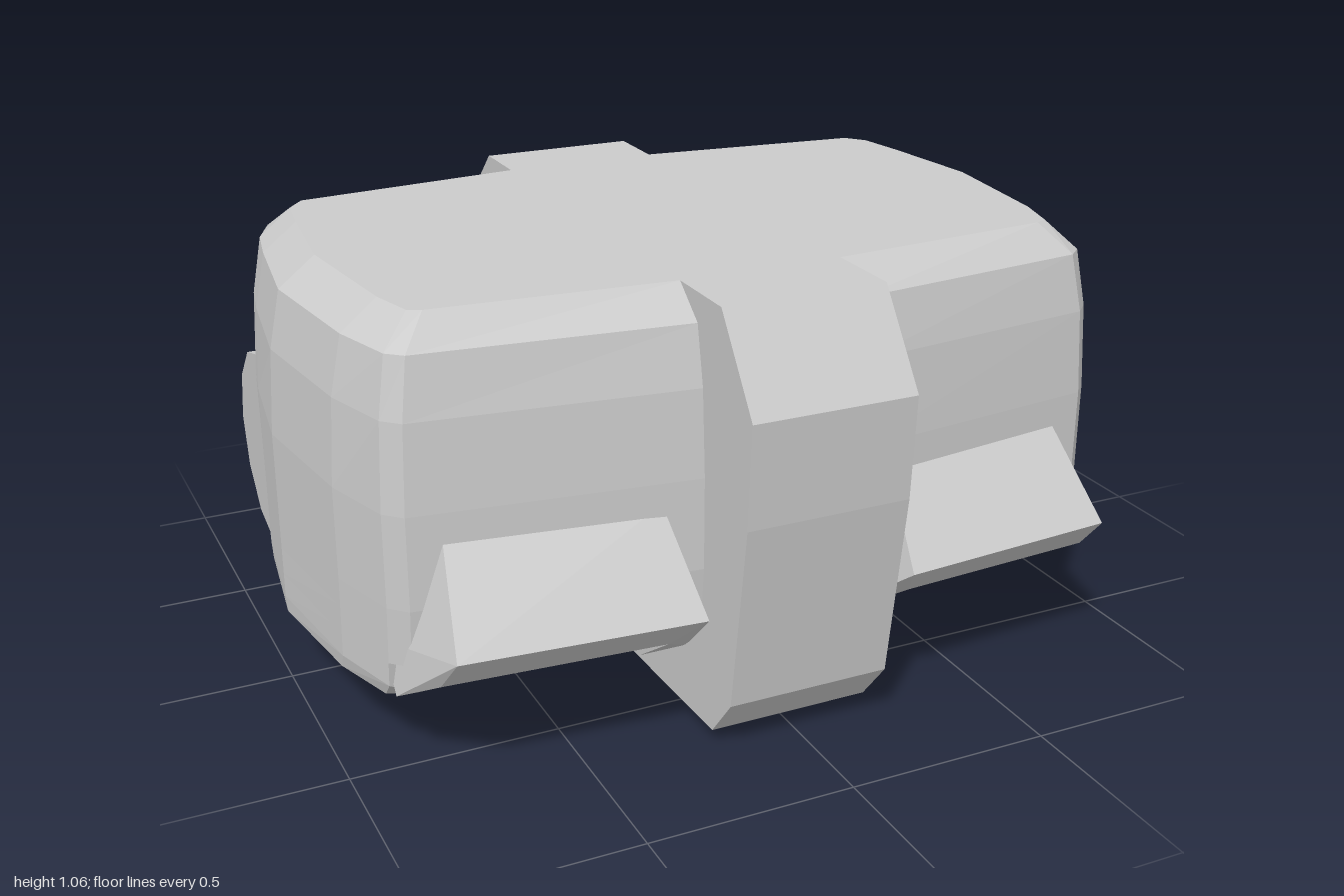
import * as THREE from 'three';
import { ConvexGeometry } from 'three/addons/geometries/ConvexGeometry.js';

const material = new THREE.MeshStandardMaterial({ color: 0xcccccc, flatShading: true });

function addMesh(parent, name, geometry) {
  const mesh = new THREE.Mesh(geometry, material);
  mesh.name = name;
  parent.add(mesh);
  return mesh;
}

// Half outlines in plan [x, z], from the front centre round to the back centre
const OUTER = [[0.2, 0.65], [0.86, 0.57], [0.9, 0.53], [0.955, 0.35], [1, 0], [0.96, -0.3], [0.935, -0.43], [0.89, -0.55], [0.2, -0.63]];
const TOP = [[0.2, 0.52], [0.77, 0.475], [0.8, 0.46], [0.83, 0.35], [0.87, 0], [0.84, -0.28], [0.82, -0.41], [0.78, -0.46], [0.2, -0.52]];

// Cylinder pods and the round recess that holds them
const POD = { y: 0.35, z: -0.6, radius: 0.27, recess: 0.29 };

// Underside channel: inner wall, outer wall and ceiling height
const CHANNEL = { inner: 0.31, outer: 0.83, y: 0.28 };

// One half of the body outline (+x side) at height y
function halfRing(y, blend, frontScale) {
  const half = OUTER.map(([x, z], i) => {
    const px = THREE.MathUtils.lerp(TOP[i][0], x, blend);
    const pz = THREE.MathUtils.lerp(TOP[i][1], z, blend);
    return [px, y, pz > 0 ? pz * frontScale : pz];
  });
  // Pull the rear of the ring forward where the recess cuts into it
  const dy = y - POD.y;
  if (Math.abs(dy) >= POD.recess) return half;
  const cut = POD.z + Math.sqrt(POD.recess ** 2 - dy ** 2);
  return half.map(([x, , z], i) => {
    if (i < 5 || z >= cut) return [x, y, z];
    if (x <= 0.2) return [x, y, cut];
    let k = 4;
    while (half[k + 1][2] > cut) k++;
    const [a, b] = [half[k], half[k + 1]];
    return [THREE.MathUtils.lerp(a[0], b[0], (cut - a[2]) / (b[2] - a[2])), y, cut];
  });
}

function bodyGeometry() {
  // Height, blend from top outline to full outline, front taper
  const rings = [
    [CHANNEL.y, 1, 0.98], [0.35, 1, 0.99], [0.42, 1, 1],
    [0.5, 1, 1], [0.56, 1, 1], [0.6, 1, 1], [0.63, 1, 1], [0.642, 1, 1],
    [0.85, 0.9, 1], [0.99, 0.68, 1], [1.06, 0, 1],
  ].map(r => {
    const half = halfRing(...r);
    return [...half, ...half.map(([x, y, z]) => [-x, y, z]).reverse()];
  });
  const n = rings[0].length;
  const vertices = rings.flat(2);
  const bottom = rings.length * n;
  const top = bottom + 1;
  vertices.push(0, CHANNEL.y, 0, 0, 1.06, 0);
  const index = [];
  for (let r = 0; r < rings.length - 1; r++) {
    for (let i = 0; i < n; i++) {
      const a = r * n + i, b = r * n + (i + 1) % n;
      index.push(a, b, b + n, a, b + n, a + n);
    }
  }
  const last = (rings.length - 1) * n;
  for (let i = 0; i < n; i++) {
    const j = (i + 1) % n;
    index.push(bottom, j, i, top, last + i, last + j);
  }
  const geometry = new THREE.BufferGeometry();
  geometry.setAttribute('position', new THREE.Float32BufferAttribute(vertices, 3));
  geometry.setIndex(index);
  geometry.computeVertexNormals();
  return geometry;
}

export function createModel() {
  const model = new THREE.Group();
  model.name = 'model';

  addMesh(model, 'body', bodyGeometry());

  // Central band wrapping over the body, side profile as (z, y)
  const profile = [
    [0.72, 1.06], [0.87, 0.85], [0.855, 0.6], [0.79, 0.14], [0.7, 0.03], [0.1, 0.005],
    [-0.48, 0], [-0.68, 0.14], [-0.74, 0.35], [-0.755, 0.6], [-0.765, 0.99], [-0.69, 1.06],
  ].map(([z, y]) => new THREE.Vector2(z, y));
  const band = new THREE.ExtrudeGeometry(new THREE.Shape(profile), { depth: 0.4, bevelEnabled: false });
  band.translate(0, 0, -0.2);
  band.rotateY(-Math.PI / 2);
  addMesh(model, 'centralBand', band);

  const { inner, outer, y: ceiling } = CHANNEL;
  for (const side of [1, -1]) {
    const label = side > 0 ? 'left' : 'right';
    const hull = (name, points) => addMesh(model, label + name,
      new ConvexGeometry(points.map(([x, y, z]) => new THREE.Vector3(side * x, y, z))));

    // Twelve-sided pod at the back
    const pod = new THREE.CylinderGeometry(POD.radius, POD.radius, 0.665, 12);
    pod.rotateZ(Math.PI / 2);
    addMesh(model, label + 'RearCylinder', pod).position.set(side * 0.5575, POD.y, POD.z);

    // Pointed ledge on the front, over the mouth of the channel
    hull('FrontLedge', [
      [0.29, 0.585, 0.62], [0.78, 0.585, 0.565],
      [0.26, 0.375, 0.8], [0.82, 0.375, 0.755],
      [inner, ceiling, 0.7], [outer, ceiling, 0.665],
      [inner, ceiling, 0.4], [outer, ceiling, 0.4],
    ]);

    // Cheek outside the channel, joining the ledge to the body corner
    hull('OuterCheek', [
      [0.78, 0.585, 0.565], [0.82, 0.375, 0.755], [outer, ceiling, 0.665],
      [0.89, 0.2, 0.53], [outer, 0.18, 0.5], [outer, 0.18, 0.4],
      [outer, 0.3, 0.4], [0.89, 0.3, 0.45],
    ]);

    // Side wall below the channel ceiling
    hull('SideSkirt', [
      ...[[0.18, 0.98, 0.9], [0.22, 1, 0.97], [ceiling + 0.01, 1, 0.98]].flatMap(r => [
        ...halfRing(...r).slice(2, 7),
        [outer, r[0], 0.5], [outer, r[0], -0.36],
      ]),
    ]);

    // Long cheek between the channel and the central band
    hull('InnerCheek', [
      [0.29, 0.585, 0.62], [0.26, 0.375, 0.8], [inner, ceiling, 0.7], [0.22, 0.25, 0.64],
      [0.19, 0.17, 0.54], [inner, 0.17, 0.54],
      [0.19, 0.165, -0.38], [inner, 0.165, -0.38],
      [0.19, 0.3, -0.32], [inner, 0.3, -0.32],
    ]);
  }
  return model;
}
